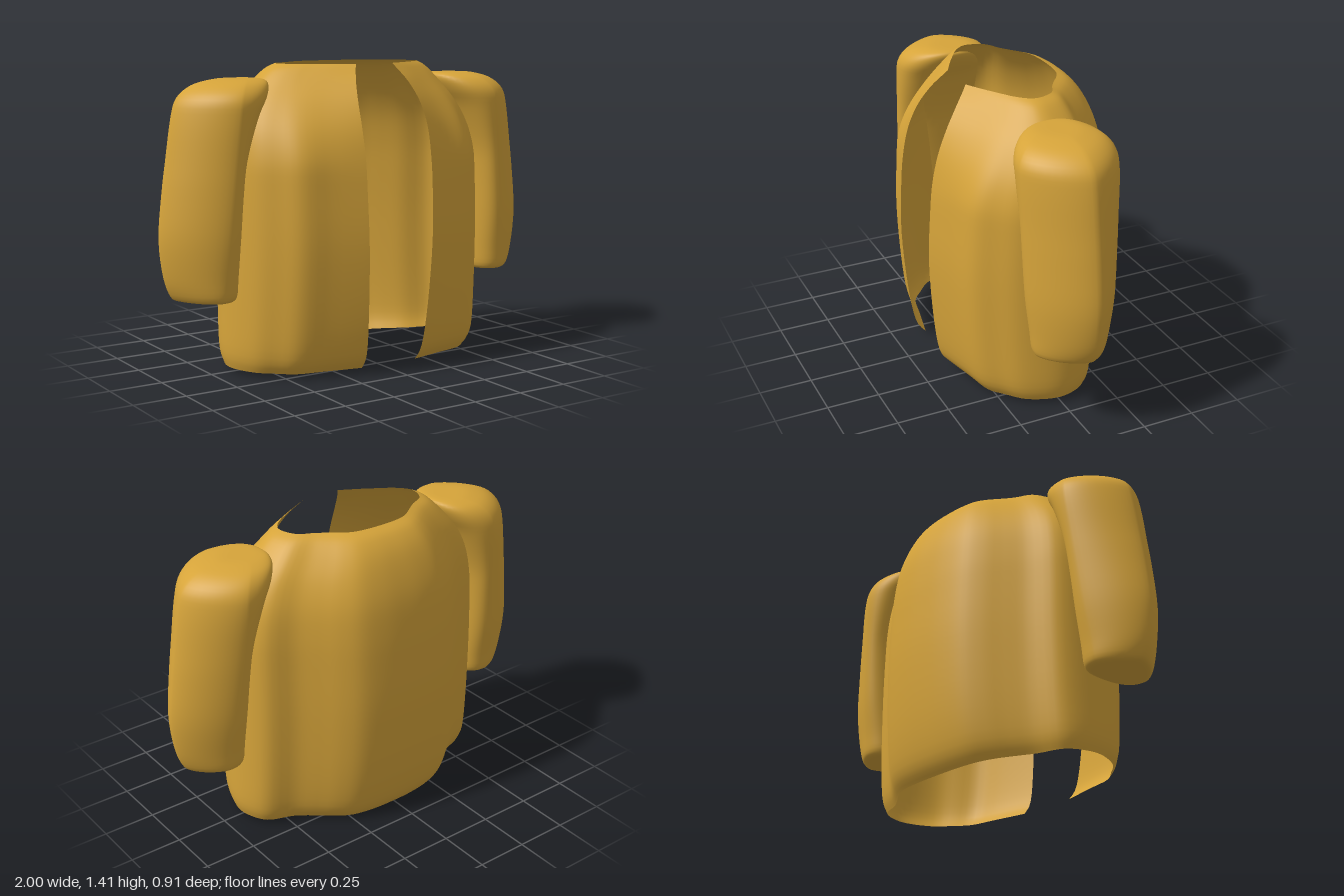
import * as THREE from 'three';

// Smoothly resample rows of cross-section values from bottom to top
function resample(rows, count) {
  const columns = rows[0].map((_, c) =>
    new THREE.SplineCurve(rows.map((r, i) => new THREE.Vector2(i, r[c]))));
  return Array.from({ length: count + 1 }, (_, i) =>
    columns.map((curve) => curve.getPoint(i / count).y));
}

// Skin between rings of equal length, optionally closed around and capped
function loft(rings, closed) {
  const n = rings[0].length, positions = rings.flat(2), index = [];
  const last = closed ? n : n - 1;
  for (let j = 0; j < rings.length - 1; j++) {
    for (let i = 0; i < last; i++) {
      const a = j * n + i, b = j * n + (i + 1) % n;
      index.push(a, b, b + n, a, b + n, a + n);
    }
  }
  if (closed) {
    [0, rings.length - 1].forEach((j) => {
      const center = positions.length / 3;
      for (let k = 0; k < 3; k++) {
        positions.push(rings[j].reduce((sum, p) => sum + p[k], 0) / n);
      }
      for (let i = 0; i < n; i++) {
        const a = j * n + i, b = j * n + (i + 1) % n;
        index.push(center, ...(j === 0 ? [b, a] : [a, b]));
      }
    });
  }
  const geometry = new THREE.BufferGeometry();
  geometry.setAttribute('position', new THREE.Float32BufferAttribute(positions, 3));
  geometry.setIndex(index);
  geometry.computeVertexNormals();
  return geometry;
}

// Half outline of the torso from front corner to spine: x, z at the chest, z at the neck
const TORSO_OUTLINE = [
  [0.5, 0.87, 0.78], [0.7, 0.79, 0.57], [0.82, 0.62, 0.44], [0.93, 0.43, 0.28],
  [1, 0.13, 0.1], [1, -0.13, -0.1], [0.92, -0.4, -0.37], [0.74, -0.53, -0.53],
  [0.61, -0.68, -0.68], [0.49, -0.83, -0.83], [0.36, -0.94, -0.94], [0.18, -0.99, -0.99],
];

// Open-fronted torso shell: y, half width, front z, back z, half opening
function bodyGeometry() {
  const rows = [
    [0.022, 0.65, 0.355, -0.36, 0.15],
    [0.1, 0.668, 0.405, -0.41, 0.155],
    [0.3, 0.668, 0.437, -0.445, 0.165],
    [0.6, 0.665, 0.457, -0.46, 0.175],
    [0.85, 0.662, 0.447, -0.452, 0.18],
    [1.0, 0.655, 0.432, -0.44, 0.18],
    [1.13, 0.63, 0.4, -0.42, 0.18],
    [1.24, 0.575, 0.35, -0.385, 0.17],
    [1.33, 0.495, 0.29, -0.34, 0.145],
    [1.39, 0.43, 0.24, -0.285, 0.115],
    [1.415, 0.38, 0.22, -0.23, 0.1],
  ];
  const rings = resample(rows, 40).map(([y, rx, front, back, gap]) => {
    const neck = THREE.MathUtils.smoothstep(y, 0.95, 1.42);
    const half = [[gap / rx, 0.98, 1], ...TORSO_OUTLINE].map(([u, chest, top]) => {
      const w = THREE.MathUtils.lerp(chest, top, neck);
      return new THREE.Vector2(u * rx, w > 0 ? w * front : -w * back);
    });
    const mirrored = half.map((p) => new THREE.Vector2(-p.x, p.y)).reverse();
    const outline = new THREE.SplineCurve([...half, new THREE.Vector2(0, back), ...mirrored]);
    return outline.getPoints(104).map(({ x, y: z }) => {
      // The hem dips slightly at the back
      const dip = 0.022 * Math.max(0, z / back) ** 4 * Math.max(0, 1 - (y - 0.022) / 0.3);
      return [x, y - dip, z];
    });
  });
  return loft(rings, false);
}

// Puffed sleeve: y, inner x, ridge x, outer x, front z, back z
function sleeveGeometry(side) {
  const rows = [
    [0.365, 0.69, 0.78, 0.91, 0.17, -0.11],
    [0.385, 0.665, 0.78, 0.945, 0.2, -0.14],
    [0.48, 0.66, 0.775, 0.98, 0.212, -0.155],
    [0.65, 0.655, 0.76, 0.998, 0.23, -0.182],
    [0.85, 0.645, 0.74, 0.978, 0.237, -0.2],
    [1.0, 0.625, 0.725, 0.955, 0.24, -0.212],
    [1.18, 0.56, 0.705, 0.925, 0.245, -0.225],
    [1.27, 0.505, 0.69, 0.895, 0.237, -0.215],
    [1.325, 0.478, 0.655, 0.825, 0.19, -0.175],
    [1.35, 0.485, 0.61, 0.73, 0.12, -0.11],
    [1.355, 0.53, 0.6, 0.66, 0.05, -0.05],
  ];
  const steps = 48;
  const rings = resample(rows, 40).map(([y, inner, ridge, outer, front, back]) =>
    Array.from({ length: steps }, (_, i) => {
      const angle = 2 * Math.PI * i / steps;
      const s = Math.sin(angle) * side, c = Math.cos(angle);
      // Ridged outside, fuller curve against the torso
      const e = s > 0 ? 2 / 1.5 : 2 / 2.5;
      const x = ridge + Math.abs(s) ** e * (s > 0 ? outer - ridge : inner - ridge);
      return [side * x, y, Math.abs(c) ** e * (c > 0 ? front : back)];
    }));
  return loft(rings, true);
}

export function createModel() {
  const cloth = new THREE.MeshStandardMaterial({ color: 0xd6a43a, side: THREE.DoubleSide });
  cloth.name = 'mustard cloth';
  const model = new THREE.Group();
  model.name = 'openJacket';
  const add = (name, geometry) => {
    const mesh = new THREE.Mesh(geometry, cloth);
    mesh.name = name;
    model.add(mesh);
  };
  add('jacketBody', bodyGeometry());
  add('leftSleeve', sleeveGeometry(1));
  add('rightSleeve', sleeveGeometry(-1));
  return model;
}
